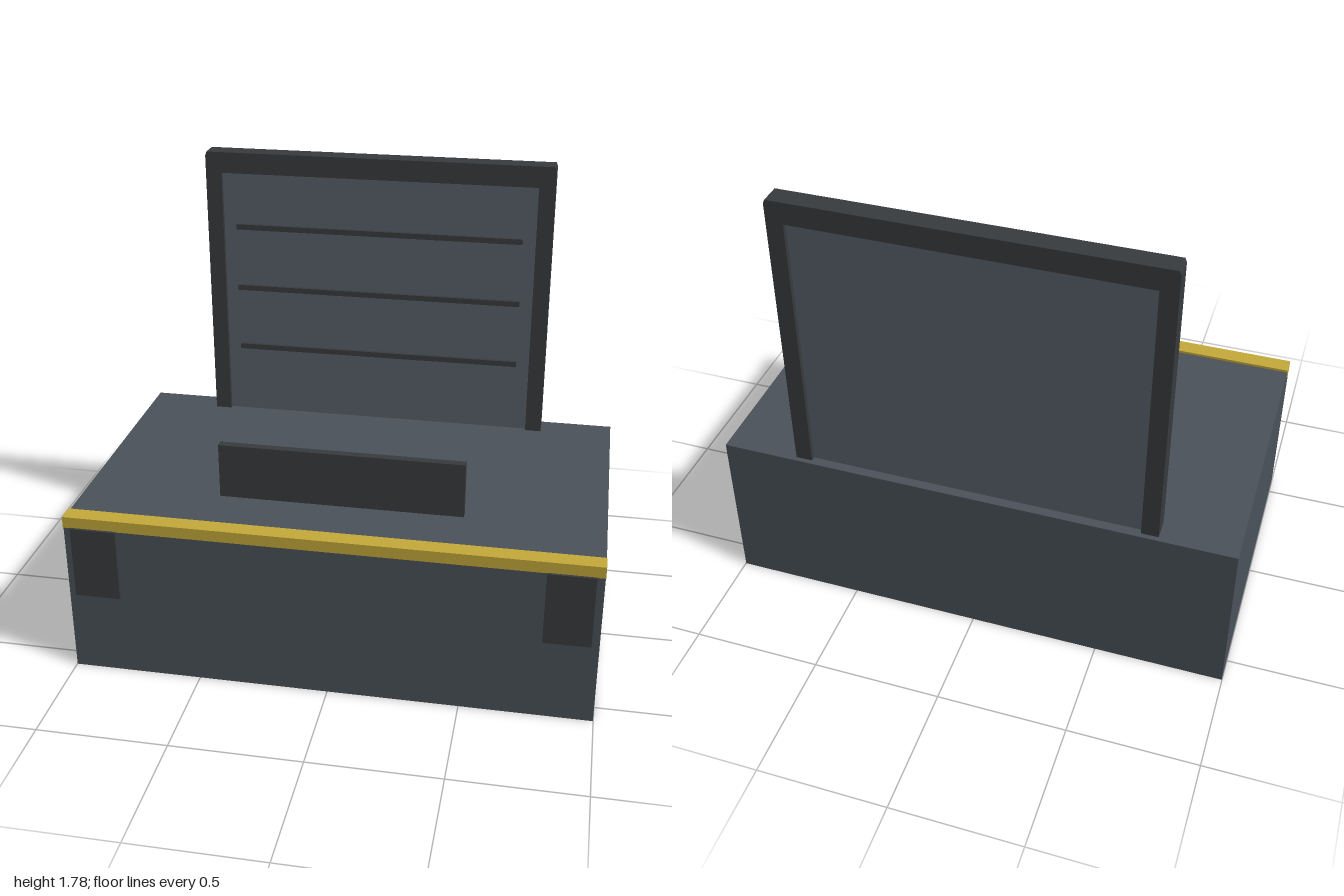
import * as THREE from 'three';

const paint = (color) => new THREE.MeshStandardMaterial({ color });

export function createModel() {
  const model = new THREE.Group();
  const body = paint(0x4a525a), dark = paint(0x383b3f);
  const panelGrey = paint(0x58616a), yellow = paint(0xc4a93a);

  // Box given by its minimum and maximum extents
  function block(name, material, [x0, x1], [y0, y1], [z0, z1]) {
    const mesh = new THREE.Mesh(new THREE.BoxGeometry(x1 - x0, y1 - y0, z1 - z0), material);
    mesh.position.set((x0 + x1) / 2, (y0 + y1) / 2, (z0 + z1) / 2);
    mesh.name = name;
    model.add(mesh);
  }

  // Solid base and the warning strip along its front top edge
  block('base', body, [-0.999, 0.999], [0, 0.65], [-0.597, 0.583]);
  block('edgeStrip', yellow, [-1, 1], [0.615, 0.66], [0.519, 0.587]);

  // Thin plates at both ends of the front face
  for (const side of [-1, 1]) {
    const xs = [side * 0.795, side * 0.97].sort((a, b) => a - b);
    block(side > 0 ? 'leftFrontPlate' : 'rightFrontPlate', dark, xs, [0.33, 0.617], [0.575, 0.597]);
  }

  // Low upright plate on the deck
  block('deckPlate', dark, [-0.47, 0.47], [0.64, 0.867], [0.27, 0.302]);

  // Back frame: an arch with slightly clipped top corners
  const outline = [
    [-0.708, 0.64], [-0.643, 0.64], [-0.643, 1.7], [0.643, 1.7], [0.643, 0.64],
    [0.708, 0.64], [0.708, 1.77], [0.702, 1.785], [-0.702, 1.785], [-0.708, 1.77],
  ];
  const shape = new THREE.Shape(outline.map(([x, y]) => new THREE.Vector2(x, y)));
  const frame = new THREE.Mesh(
    new THREE.ExtrudeGeometry(shape, { depth: 0.08, bevelEnabled: false }), dark);
  frame.position.z = -0.578;
  frame.name = 'backFrame';
  model.add(frame);

  // Recessed panel with three horizontal ribs on its front
  block('backPanel', panelGrey, [-0.645, 0.645], [0.64, 1.702], [-0.56, -0.515]);
  [0.945, 1.21, 1.474].forEach((y, i) =>
    block(`rib${i + 1}`, dark, [-0.59, 0.59], [y - 0.011, y + 0.011], [-0.52, -0.502]));

  return model;
}
